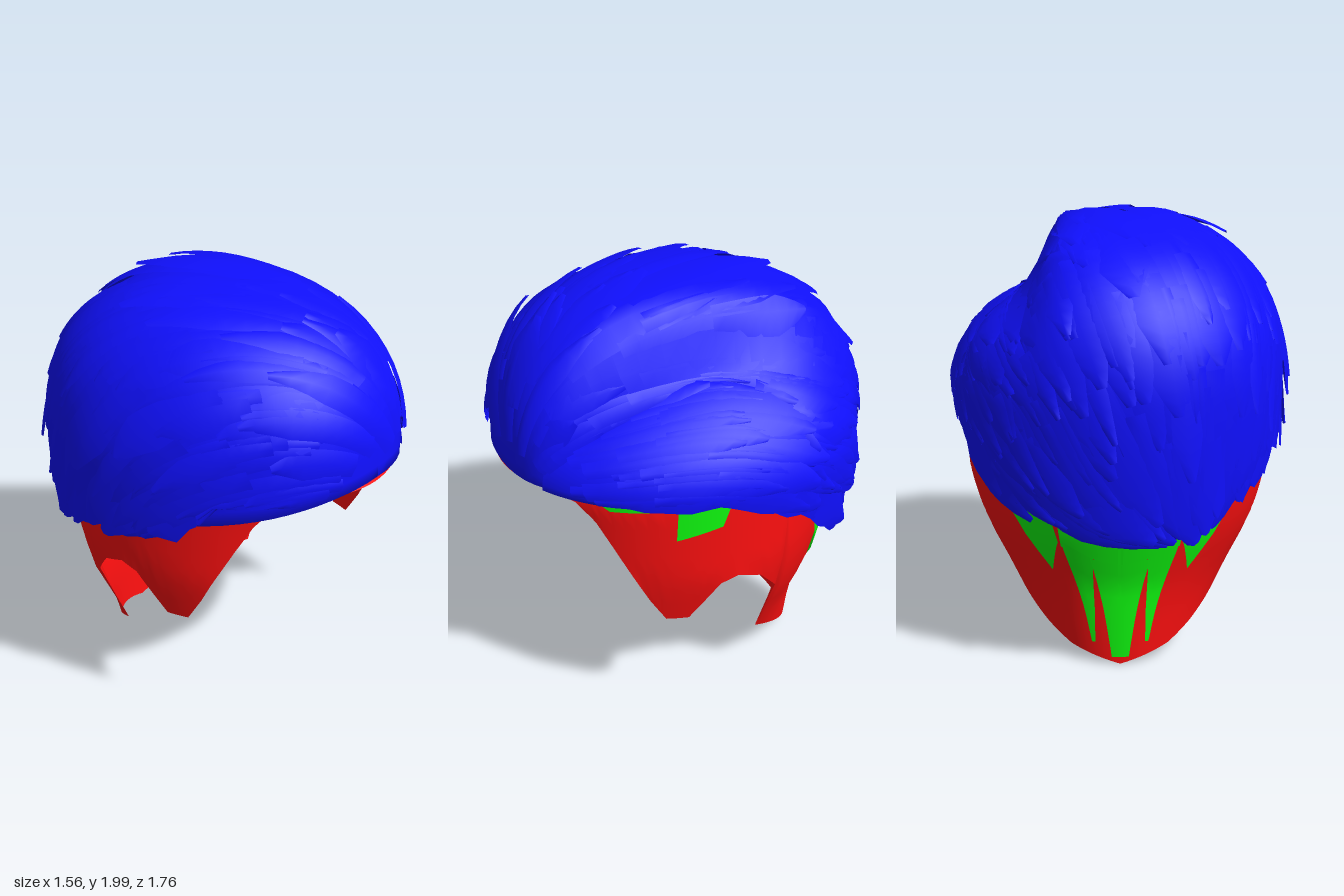
import * as THREE from 'three';
import { mergeGeometries } from 'three/addons/utils/BufferGeometryUtils.js';

const RAD = Math.PI / 180;
const { lerp, smoothstep, clamp } = THREE.MathUtils;
const V = (x, y, z) => new THREE.Vector3(x, y, z);

// Seeded random numbers
let seed = 7;
const rand = (a = 0, b = 1) => {
  seed = (seed * 16807) % 2147483647;
  return a + (b - a) * (seed / 2147483647);
};

// Linear interpolation through [key, value] pairs
function table(pairs, k) {
  for (let i = 1; i < pairs.length; i++) {
    const [a, va] = pairs[i - 1], [b, vb] = pairs[i];
    if (k <= b) return lerp(va, vb, clamp((k - a) / (b - a), 0, 1));
  }
  return pairs[pairs.length - 1][1];
}

// Grid surface from a rule f(u, v) -> Vector3
function surface(nu, nv, f) {
  const pos = [], idx = [];
  for (let j = 0; j <= nv; j++)
    for (let i = 0; i <= nu; i++) pos.push(...f(i / nu, j / nv).toArray());
  for (let j = 0; j < nv; j++)
    for (let i = 0; i < nu; i++) {
      const a = j * (nu + 1) + i, b = a + nu + 1;
      idx.push(a, b, a + 1, b, b + 1, a + 1);
    }
  const g = new THREE.BufferGeometry();
  g.setAttribute('position', new THREE.Float32BufferAttribute(pos, 3));
  g.setIndex(idx);
  g.computeVertexNormals();
  return g;
}

// --- Scalp: half width, front depth and back depth by height; lower edge by angle from the front
const CROWN = 1.79;
const WIDTH = [[0, 0.42], [0.28, 0.5], [0.6, 0.66], [0.83, 0.71], [1.25, 0.71], [1.4, 0.65], [1.5, 0.57], [1.62, 0.42], [1.72, 0.25], [CROWN, 0]];
const FRONT = [[0.6, 0.74], [1.25, 0.78], [1.4, 0.72], [1.5, 0.64], [1.62, 0.48], [1.72, 0.28], [CROWN, 0]];
const BACK = [[0, 0.58], [0.4, 0.6], [0.65, 0.67], [1, 0.74], [1.3, 0.76], [1.5, 0.67], [1.62, 0.53], [1.72, 0.33], [CROWN, 0]];
const LIP = [[1.12, 0], [1.24, 0.07], [1.34, 0.04], [1.4, 0]];
const SCALP_EDGE = [[0, 1.24], [28, 1.25], [36, 1.22], [42, 1.13], [48, 1], [60, 0.72], [66, 0.6], [74, 0.6], [84, 0.8],
  [90, 0.83], [100, 0.78], [110, 0.65], [112, 0.28], [135, 0.15], [150, 0.08], [180, 0.01]];
const fold = (deg) => { const a = ((deg % 360) + 360) % 360; return a > 180 ? 360 - a : a; };

function scalpPoint(deg, y, off = 0) {
  const s = Math.sin(deg * RAD), c = Math.cos(deg * RAD);
  const across = c > 0 ? Math.sign(s) * Math.abs(s) ** 0.92 : s;
  const depth = c > 0 ? table(FRONT, y) + table(LIP, y) * c ** 5 : table(BACK, y);
  return V((table(WIDTH, y) + off) * across, y, (depth + off) * c);
}

// Four-cornered patch lying on the scalp; corners are [angle, height]
function scalpPatch([a, b, c, d], off) {
  return surface(6, 8, (u, v) => scalpPoint(
    lerp(lerp(a[0], b[0], u), lerp(d[0], c[0], u), v),
    lerp(lerp(a[1], b[1], u), lerp(d[1], c[1], u), v), off));
}

// --- Hair: shells given by a unit direction
const HAIR_EDGE = [[0, 1.27], [40, 1.25], [80, 1.24], [92, 1.21], [112, 1.12], [122, 1.06], [135, 0.92], [150, 0.8], [165, 0.71], [180, 0.69]];
const hairEdge = (deg) => {
  const s = Math.sin(deg * RAD);
  return table(HAIR_EDGE, fold(deg)) - (s < 0 ? 0.14 * s * s : 0);
};
const angleOf = (d) => Math.atan2(d.x, d.z) / RAD;

function hairPoint(d, height, power) {
  const a = angleOf(d) * RAD, s = Math.sin(a), c = Math.cos(a);
  const across = c > 0 ? Math.sign(s) * Math.abs(s) ** 0.95 : s;
  const y = d.y > 0 ? 1.25 + height * d.y : 1.25 + 0.8 * d.y;
  const k = power + 0.2 * Math.max(0, c);
  const r = d.y > 0 ? Math.pow(Math.max(0, 1 - Math.pow(d.y, k)), 1 / k) : 1 - 0.15 * d.y * d.y;
  return V(0.75 * (1 - 0.05 * c) * across * r, y, (c > 0 ? 0.87 : 0.84) * c * r);
}
// Swept top: its +x flank is lower and pulled in to leave a parting
function topHair(d) {
  const p = hairPoint(d, 0.73, 2.35);
  if (p.x > 0) {
    if (p.y > 1.25) p.y = 1.25 + (p.y - 1.25) * (1 - 0.31 * smoothstep(p.x, 0.25, 0.46));
    const x = p.x / Math.pow(1 + Math.pow(p.x / 0.46, 4), 0.25);
    p.x = lerp(p.x, x, smoothstep(p.z, -0.4, 0.05));
  }
  return p;
}
// Combed side: rises from the forehead towards the crown
function sideHair(d) {
  const p = hairPoint(d, 1, 1.9);
  if (p.y > 1.25) p.y = 1.25 + (p.y - 1.25) * table([[-0.4, 0.54], [0, 0.51], [0.6, 0.4]], p.z);
  return p;
}

const CENTRE = V(0, 1.25, 0);
const swell = (p, k) => p.sub(CENTRE).multiplyScalar(k).add(CENTRE);

// Solid under-surface of the hair, with a lip turned in at the lower edge
function hairShell(rule, from, to) {
  return surface(72, 22, (u, v) => {
    const deg = lerp(from, to, u), low = Math.asin((hairEdge(deg) - 1.25) / 0.8);
    const e = lerp(Math.PI / 2, low, Math.min(1, v * 22 / 21));
    const p = swell(rule(direction(deg, Math.sin(e))), 0.988);
    if (v === 1) { p.x *= 0.96; p.z *= 0.96; }
    return p;
  });
}

// One tapered lock that follows a flow over the hair surface
function lock(rule, start, flow, width, length, lift) {
  const steps = 9, path = [], d = start.clone();
  const stop = rand(0, 0.09);
  for (let i = 0; i <= steps; i++) {
    const deg = angleOf(d), slack = fold(deg) > 70 ? stop : -0.02;
    if (rule(d).y < hairEdge(deg) - slack) break;
    const f = flow(d);
    f.addScaledVector(d, -f.dot(d)).normalize();
    path.push({ d: d.clone(), side: f.clone().cross(d).normalize() });
    d.addScaledVector(f, length / steps).normalize();
  }
  if (path.length < 4) return null;
  const base = rand(0.996, 1.01);
  return surface(2, path.length - 1, (u, v) => {
    const { d: q, side } = path[Math.round(v * (path.length - 1))];
    const w = width * (0.75 + 0.5 * v) * (v > 0.65 ? 1 - 0.8 * (v - 0.65) / 0.35 : 1);
    const at = q.clone().addScaledVector(side, (u - 0.5) * w).normalize();
    const p = swell(rule(at), base + (u === 0.5 ? 0.012 : 0) + lift * v * v);
    if (p.z > 0.45) p.y = Math.max(p.y, 1.25);
    return p;
  });
}

function locks(count, rule, pick, flow) {
  const list = [];
  for (let i = 0; i < count; i++) {
    const g = lock(rule, pick(), flow, rand(0.1, 0.25), rand(0.45, 0.95), rand() < 0.1 ? 0.04 : rand(0, 0.018));
    if (g) list.push(g);
  }
  return mergeGeometries(list);
}
function direction(deg, y) {
  const r = Math.sqrt(Math.max(0, 1 - y * y));
  return V(r * Math.sin(deg * RAD), y, r * Math.cos(deg * RAD));
}

export function createModel() {
  const group = new THREE.Group();
  const paint = (color) => new THREE.MeshStandardMaterial({ color, side: THREE.DoubleSide });
  const red = paint(0xff1010), green = paint(0x10ff10), blue = paint(0x1010ff);
  const add = (name, geometry, material) => {
    const m = new THREE.Mesh(geometry, material);
    m.name = name;
    group.add(m);
  };

  // Scalp with sideburns, ear cut-outs and nape
  add('scalp', surface(180, 20, (u, v) => {
    const low = table(SCALP_EDGE, fold(u * 360));
    return scalpPoint(u * 360, lerp(low, CROWN, 1 - (1 - v) ** 1.6));
  }), red);

  // Under-layer showing at the temples, behind the ears and on the nape
  const outer = [
    [[42, 1.27], [66, 1.27], [66, 1.22], [48, 1.21]],
    [[70, 1.27], [88, 1.27], [84, 1.12], [69, 1.07]],
    [[117, 1.12], [152, 0.85], [156, 0.62], [150, 0.46]],
    [[156, 0.8], [181, 0.8], [181, 0.5], [157, 0.6]],
    [[157, 0.63], [169, 0.55], [166, 0.12], [164, 0.12]],
    [[168, 0.55], [181, 0.52], [181, 0.05], [175, 0.05]],
  ];
  const inner = [[[153, 0.73], [152, 0.6], [150, 0.45], [159, 0.43]]];
  const patches = [];
  for (const side of [1, -1]) {
    const flip = (q) => q.map(([a, y]) => [a * side, y]);
    outer.forEach((q) => patches.push(scalpPatch(flip(q), 0.01)));
    inner.forEach((q) => patches.push(scalpPatch(flip(q), -0.012)));
  }
  add('underLayer', mergeGeometries(patches), green);

  // Thin line of under-layer along the parting
  const parting = new THREE.CatmullRomCurve3([V(0.41, 1.41, 0.62), V(0.44, 1.5, 0.42), V(0.45, 1.58, 0.2), V(0.43, 1.64, 0)]);
  add('parting', new THREE.TubeGeometry(parting, 16, 0.015, 5), green);

  // Stray hair ends inside the nape
  add('strayEnds', mergeGeometries([
    [[-160, 1.0], [-162, 1.01], [-166, 0.72], [-164, 0.72]],
    [[-157, 0.93], [-158, 0.93], [-163, 0.79], [-162, 0.8]],
    [[-156, 0.75], [-157, 0.74], [-168, 0.71], [-158, 0.71]],
    [[169, 0.78], [170, 0.76], [174, 0.71], [170, 0.72]],
  ].map((q) => scalpPatch(q, -0.015))), blue);

  // Swept top and back
  add('topHair', hairShell(topHair, 0, 360), blue);
  add('topLocks', locks(400, topHair,
    () => direction(rand(0, 360), rand(-0.3, 0.97)),
    (d) => V(-0.3 + 0.25 * d.x, lerp(-0.9, 0.25, smoothstep(d.z, -0.5, 0.9)) - 0.7 * Math.max(0, -d.x), -0.75)), blue);

  // Combed side below the parting
  add('sideHair', hairShell(sideHair, 28, 150), blue);
  add('sideLocks', locks(90, sideHair,
    () => direction(rand(34, 125), rand(0.05, 0.75)),
    (d) => V(0.1, lerp(-0.75, 0.1, smoothstep(d.z, -0.5, 0.7)), -1)), blue);

  return group;
}
